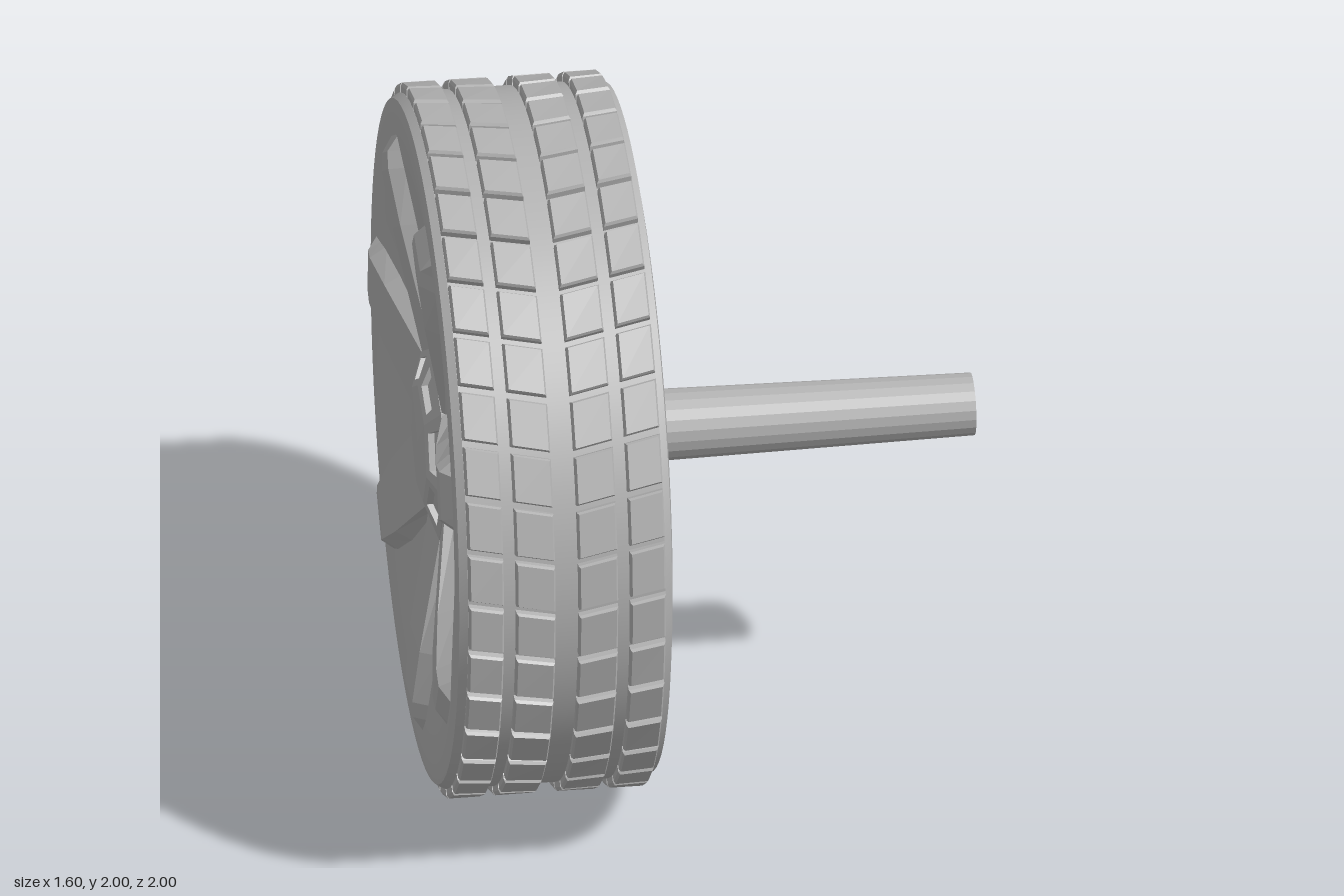
import * as THREE from 'three';
import { toCreasedNormals } from 'three/addons/utils/BufferGeometryUtils.js';

// Collects flat faces; corners run counter-clockwise seen from outside
class Faces {
  constructor() { this.data = []; }
  tri(a, b, c) { this.data.push(...a, ...b, ...c); }
  quad(a, b, c, d) { this.tri(a, b, c); this.tri(a, c, d); }
  build() {
    const g = new THREE.BufferGeometry();
    g.setAttribute('position', new THREE.Float32BufferAttribute(this.data, 3));
    g.computeVertexNormals();
    return g;
  }
}

// Point at distance x along the axle, radius r, angle t from the top towards the front
const polar = (x, r, t) => [x, r * Math.cos(t), r * Math.sin(t)];

const SPOKES = 7, STEP = (Math.PI * 2) / SPOKES, START = THREE.MathUtils.degToRad(18.5);
const MID = -0.468; // centre of the tread

// Tyre and wheel body, dished on both sides with a conical socket for the axle
function bodyGeometry() {
  const profile = [
    [0, -0.672], [0.245, -0.68], [0.77, -0.757], [0.9, -0.773], [0.96, -0.768], [0.974, -0.745],
    [0.974, -0.19], [0.965, -0.17], [0.9, -0.16], [0.77, -0.172], [0.245, -0.265], [0.1, -0.46], [0, -0.46],
  ].map(([r, x]) => new THREE.Vector2(r, x));
  const g = new THREE.LatheGeometry(profile, 80).rotateZ(-Math.PI / 2);
  return toCreasedNormals(g, 0.3);
}

// Chevron rows of bevelled blocks, two blocks on each side of the centre groove
function treadGeometry() {
  const f = new Faces(), rows = 40, pitch = (Math.PI * 2) / rows;
  const spans = [[-0.745, -0.645], [-0.612, -0.5], [-0.436, -0.324], [-0.291, -0.19]];
  const ring = (x0, x1, t, half, r, inset) => {
    const slant = (x) => t - 0.21 * Math.abs(x - MID);
    const a = x0 + inset, b = x1 - inset, h = half - inset;
    return [[a, h], [b, h], [b, -h], [a, -h]].map(([x, d]) => polar(x, r, slant(x) + d));
  };
  for (let i = 0; i < rows; i++) {
    for (const [x0, x1] of spans) {
      const t = (i + 0.5) * pitch, half = pitch / 2 - 0.009;
      const loops = [
        ring(x0, x1, t, half, 0.965, 0),
        ring(x0, x1, t, half, 0.992, 0.001),
        ring(x0, x1, t, half, 1.001, 0.006),
      ];
      for (let k = 0; k < 2; k++) {
        const lo = loops[k], hi = loops[k + 1];
        for (let j = 0; j < 4; j++) {
          const n = (j + 1) % 4;
          f.quad(lo[j], lo[n], hi[n], hi[j]);
        }
      }
      f.quad(...loops[2]);
    }
  }
  return f.build();
}

// One tapered, bevelled spoke pointing up on the outer face
function spokeGeometry() {
  const f = new Faces();
  // radius, half width at the floor, half width on top, floor x, top x
  const sections = [
    [0.18, 0.13, 0.12, -0.66, -0.705],
    [0.6, 0.135, 0.1, -0.725, -0.778],
    [0.76, 0.115, 0.078, -0.75, -0.798],
    [0.81, 0.1, 0.068, -0.755, -0.796],
    [0.86, 0.088, 0.06, -0.76, -0.765],
  ].map(([r, wb, wt, xb, xt]) => [[xb, r, -wb], [xt, r, -wt], [xt, r, wt], [xb, r, wb]]);
  for (let i = 0; i < sections.length - 1; i++) {
    const a = sections[i], b = sections[i + 1];
    for (let j = 0; j < 3; j++) f.quad(a[j], a[j + 1], b[j + 1], b[j]);
  }
  return f.build();
}

// Seven-sided hub with a recessed panel in every sloping side
function hubGeometry() {
  const f = new Faces();
  const mix = (a, b, k) => a.map((v, i) => v + (b[i] - v) * k);
  for (let k = 0; k < SPOKES; k++) {
    const t0 = START + (k - 0.5) * STEP, t1 = t0 + STEP;
    f.quad(polar(-0.72, 0.28, t0), polar(-0.72, 0.28, t1), polar(-0.66, 0.28, t1), polar(-0.66, 0.28, t0));
    const side = [polar(-0.758, 0.17, t0), polar(-0.758, 0.17, t1), polar(-0.72, 0.28, t1), polar(-0.72, 0.28, t0)];
    const at = (u, v) => mix(mix(side[0], side[1], u), mix(side[3], side[2], u), v);
    const rim = [at(0.18, 0.2), at(0.82, 0.2), at(0.82, 0.8), at(0.18, 0.8)];
    const floor = rim.map(([x, y, z]) => [x + 0.018, y, z]);
    for (let j = 0; j < 4; j++) {
      const n = (j + 1) % 4;
      f.quad(side[j], side[n], rim[n], rim[j]);
      f.quad(rim[j], rim[n], floor[n], floor[j]);
    }
    f.quad(...floor);
    f.tri([-0.762, 0, 0], side[1], side[0]);
  }
  return f.build();
}

export function createModel() {
  const grey = new THREE.MeshStandardMaterial({ color: 0xb3b3b3 });
  grey.name = 'grey';
  const model = new THREE.Group();
  model.name = 'wheelWithAxle';
  const wheel = new THREE.Group();
  wheel.name = 'wheel';
  wheel.position.y = 1;
  model.add(wheel);

  const add = (name, geometry) => {
    const mesh = new THREE.Mesh(geometry, grey);
    mesh.name = name;
    wheel.add(mesh);
    return mesh;
  };

  add('tyreBody', bodyGeometry());
  add('treadBlocks', treadGeometry());
  add('hub', hubGeometry());

  // Spokes around the hub
  const spoke = spokeGeometry();
  for (let i = 0; i < SPOKES; i++) add(`spoke${i + 1}`, spoke).rotation.x = START + i * STEP;

  // Slightly tapered axle
  const axle = new THREE.CylinderGeometry(0.088, 0.107, 1.3, 20).rotateZ(-Math.PI / 2).translate(0.15, 0, 0);
  add('axle', toCreasedNormals(axle, 0.2));

  return model;
}
